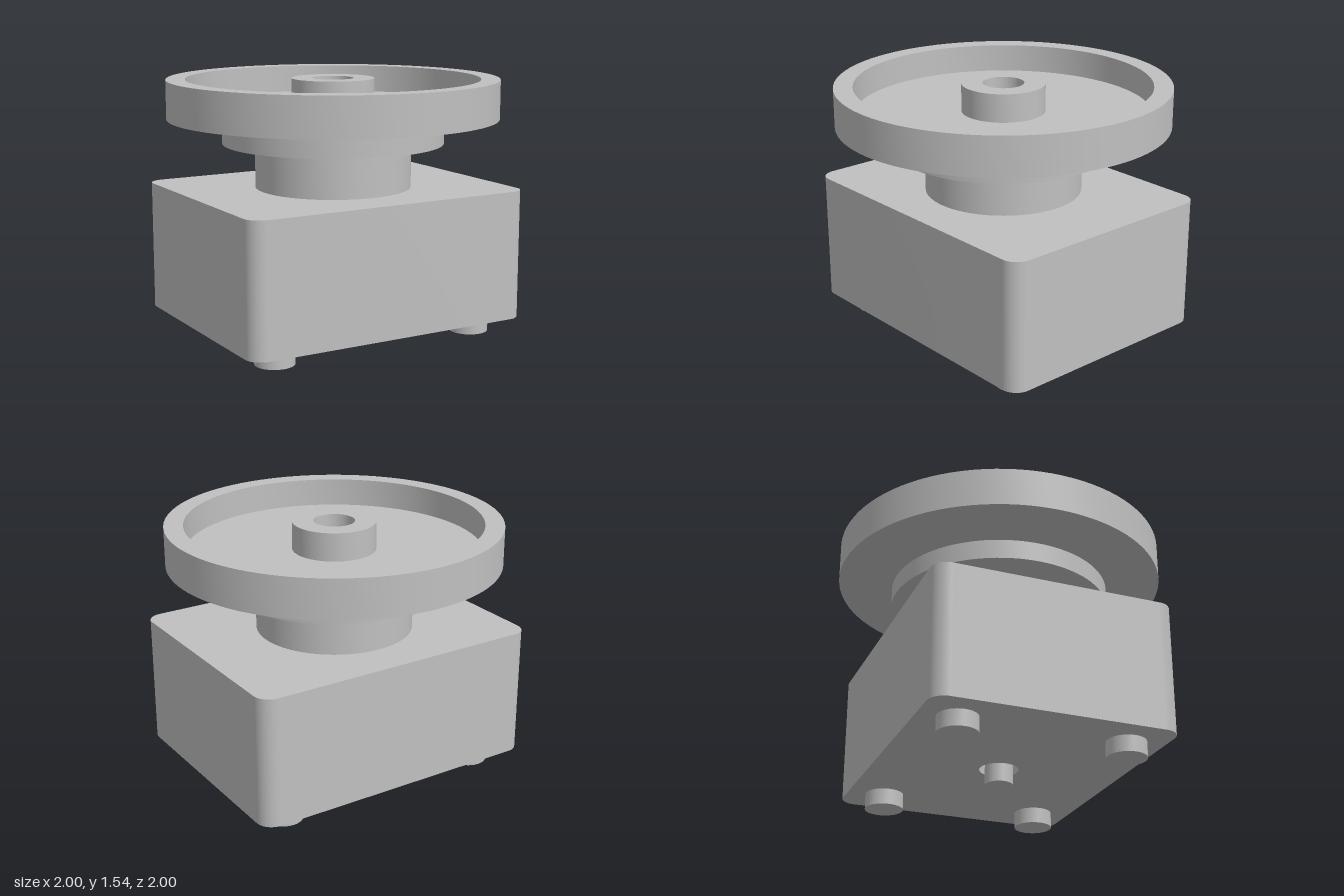
import * as THREE from 'three';
import { toCreasedNormals } from 'three/addons/utils/BufferGeometryUtils.js';

const SEGMENTS = 96;

export function createModel() {
  const model = new THREE.Group();
  const grey = new THREE.MeshStandardMaterial({ color: 0xc0c0c0 });
  grey.name = 'grey';

  function add(name, geometry) {
    const mesh = new THREE.Mesh(toCreasedNormals(geometry, 0.5), grey);
    mesh.name = name;
    model.add(mesh);
    return mesh;
  }

  // Turned part from [radius, y] pairs, anticlockwise
  function turned(name, profile) {
    return add(name, new THREE.LatheGeometry(profile.map(([r, y]) => new THREE.Vector2(r, y)), SEGMENTS));
  }

  // Upright cylinder between two heights
  function post(name, radius, y0, y1, x = 0, z = 0) {
    const mesh = add(name, new THREE.CylinderGeometry(radius, radius, y1 - y0, 48));
    mesh.position.set(x, (y0 + y1) / 2, z);
  }

  // Housing with rounded vertical corners and a round bore
  const w = 0.92, d = 0.725, r = 0.1;
  const outline = new THREE.Shape();
  outline.absarc(w - r, d - r, r, 0, Math.PI / 2);
  outline.absarc(-w + r, d - r, r, Math.PI / 2, Math.PI);
  outline.absarc(-w + r, -d + r, r, Math.PI, Math.PI * 1.5);
  outline.absarc(w - r, -d + r, r, Math.PI * 1.5, Math.PI * 2);
  outline.closePath();
  const bore = new THREE.Path();
  bore.absarc(0, 0, 0.117, 0, Math.PI * 2, true);
  outline.holes.push(bore);
  const body = new THREE.ExtrudeGeometry(outline, { depth: 0.785, bevelEnabled: false, curveSegments: 16 });
  body.rotateX(-Math.PI / 2);
  body.translate(0, 0.097, 0);
  add('housing', body);

  // Feet and central shaft
  for (const x of [-0.672, 0.672]) {
    for (const z of [-0.5, 0.5]) post('foot', 0.117, 0, 0.097, x, z);
  }
  post('shaft', 0.083, 0, 0.882);

  // Neck with its flange
  turned('neck', [
    [0, 0.882], [0.473, 0.882], [0.473, 1.15], [0.67, 1.15], [0.67, 1.27],
    [0.473, 1.27], [0.473, 1.305], [0, 1.305],
  ]);

  // Dished wheel with a bored hub
  turned('wheel', [
    [0.123, 1.305], [1, 1.305], [1, 1.54], [0.885, 1.54], [0.885, 1.37],
    [0.25, 1.37], [0.25, 1.54], [0.123, 1.54], [0.123, 1.305],
  ]);

  return model;
}
